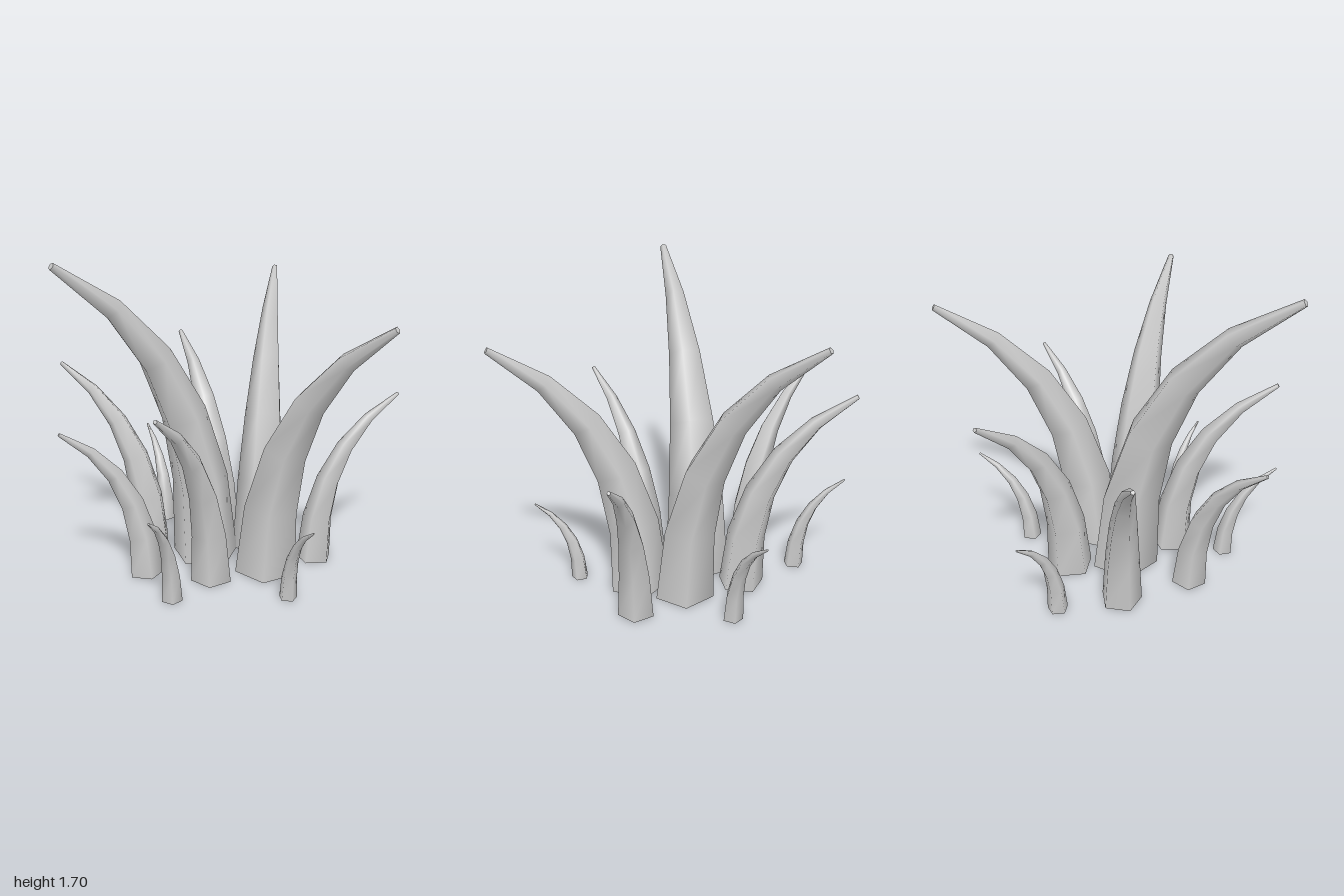
import * as THREE from 'three';
import { toCreasedNormals } from 'three/addons/utils/BufferGeometryUtils.js';

const SIDES = 5, SEGMENTS = 5;

// A tapered five-sided blade that rises straight from its root and bends toward its tip.
function bladeGeometry([bx, bz], [tx, ty, tz], radius, cornerDegrees) {
  const lean = new THREE.Vector3(tx - bx, 0, tz - bz);
  const reach = lean.length();
  lean.normalize();
  const side = new THREE.Vector3(-lean.z, 0, lean.x);
  const root = new THREE.Vector3(bx, 0, bz);
  // curve in the bending plane: x is the reach, y the height
  const curve = new THREE.QuadraticBezierCurve(
    new THREE.Vector2(0, 0), new THREE.Vector2(0, ty * 0.7), new THREE.Vector2(reach, ty));

  const start = THREE.MathUtils.degToRad(90 - cornerDegrees);
  const geo = new THREE.CylinderGeometry(1, 1, 1, SIDES, SEGMENTS, false, start);
  const pos = geo.attributes.position;
  const p = new THREE.Vector3();
  for (let i = 0; i < pos.count; i++) {
    p.fromBufferAttribute(pos, i);
    const t = THREE.MathUtils.clamp(p.y + 0.5, 0, 1);
    const c = curve.getPoint(t), tan = curve.getTangent(t);
    const r = radius * (1 - 0.9 * Math.pow(t, 1.12));
    const u = r * (p.x * lean.x + p.z * lean.z);
    const v = r * (p.x * side.x + p.z * side.z);
    p.copy(root).addScaledVector(lean, c.x + u * tan.y).addScaledVector(side, v);
    p.y = c.y - u * tan.x;
    pos.setXYZ(i, p.x, p.y, p.z);
  }
  // smooth around the blade, sharp at both end caps
  return toCreasedNormals(geo, THREE.MathUtils.degToRad(75));
}

// name, root (x, z), tip (x, y, z), root radius, direction of one corner in degrees
const BLADES = [
  ['tallFrontBlade', [-0.13, 0.04], [-0.365, 1.68, 0.885], 0.187, 90],
  ['tallBackBlade', [0.09, -0.197], [-0.26, 1.495, -0.89], 0.162, 79],
  ['tallLeftBlade', [0.26, 0.025], [0.985, 1.415, 0.12], 0.17, 63],
  ['mediumRightBlade', [-0.48, 0.085], [-0.99, 1.02, 0.23], 0.112, 0],
  ['mediumBackRightBlade', [-0.24, -0.247], [-0.73, 1.10, -0.55], 0.127, 54],
  ['mediumBackLeftBlade', [0.405, -0.247], [0.7, 0.91, -0.61], 0.098, 87],
  ['mediumFrontBlade', [0.078, 0.28], [0.15, 1.02, 0.81], 0.11, -84],
  ['mediumFrontRightBlade', [-0.255, 0.42], [-0.475, 0.84, 0.79], 0.094, 175],
  ['smallBackRightBlade', [-0.615, -0.225], [-0.85, 0.53, -0.35], 0.055, 54],
  ['smallLeftBlade', [0.52, 0.235], [0.72, 0.45, 0.35], 0.047, -44],
  ['smallFrontBlade', [0.045, 0.58], [0.12, 0.53, 0.84], 0.055, -95],
  ['smallBackBlade', [-0.01, -0.535], [-0.02, 0.53, -0.81], 0.055, 0],
];

export function createModel() {
  const group = new THREE.Group();
  group.name = 'grassTuft';
  const material = new THREE.MeshStandardMaterial({ color: 0xcccccc });
  for (const [name, root, tip, radius, corner] of BLADES) {
    const blade = new THREE.Mesh(bladeGeometry(root, tip, radius, corner), material);
    blade.name = name;
    group.add(blade);
  }
  return group;
}
